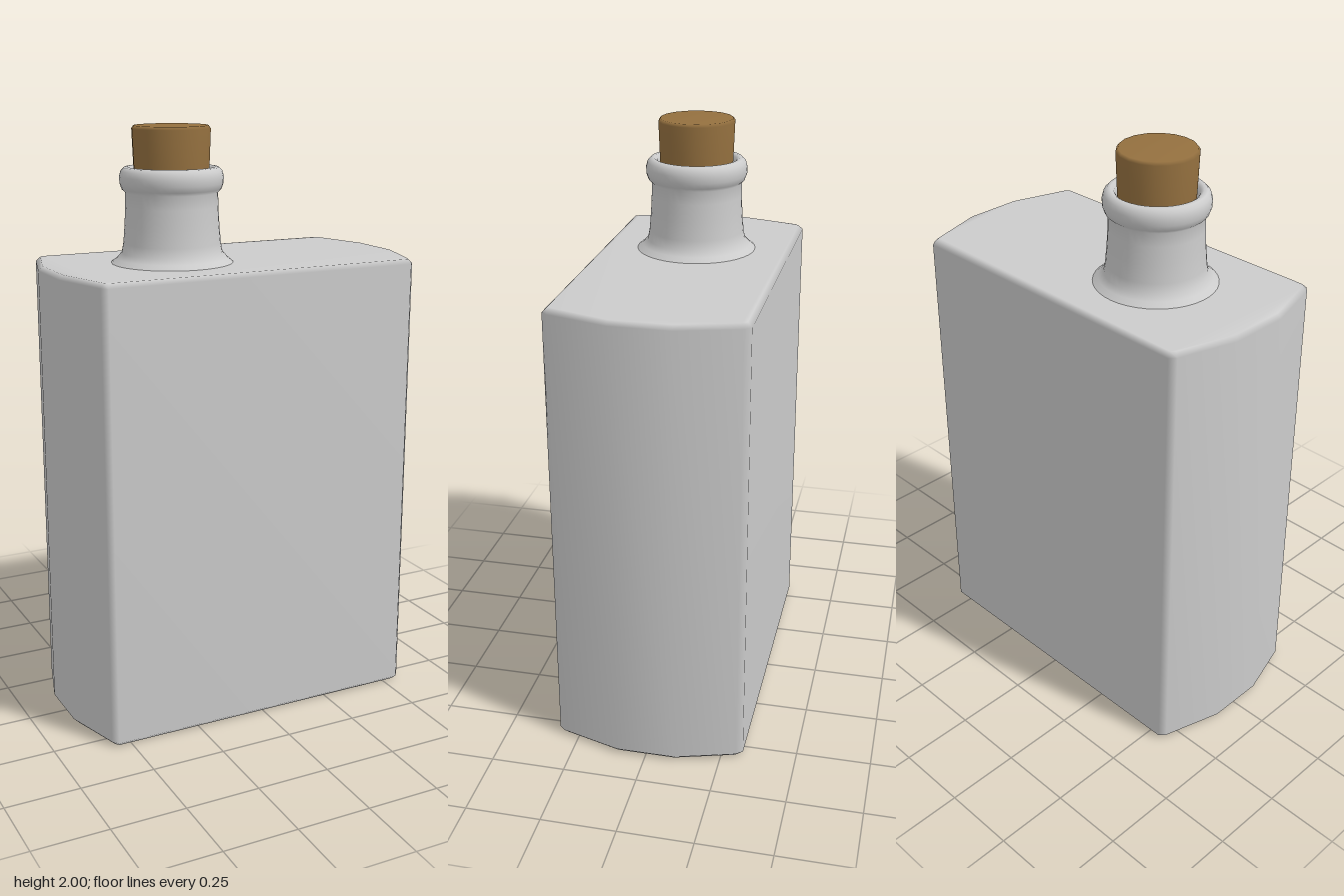
import * as THREE from 'three';
import { mergeVertices } from 'three/addons/utils/BufferGeometryUtils.js';

const HEIGHT = 1.555;
const NECK_X = -0.19;

function lathe(name, points, segments, material) {
  const profile = points.map(([r, y]) => new THREE.Vector2(r, y));
  const mesh = new THREE.Mesh(new THREE.LatheGeometry(profile, segments), material);
  mesh.name = name;
  mesh.position.x = NECK_X;
  return mesh;
}

// Flat-sided body with angled ends and narrow chamfers, softly shaded
function bodyGeometry() {
  const end = [[0.625, -0.1], [0.625, 0.1], [0.565, 0.302], [0.547, 0.323]];
  const right = [[0.547, -0.323], [0.565, -0.302], ...end];
  const left = right.map(([x, z]) => [-x, -z]);
  const shape = new THREE.Shape([...right, ...left].map(([x, z]) => new THREE.Vector2(x, z)));
  const bevel = 0.015;
  let geometry = new THREE.ExtrudeGeometry(shape, {
    depth: HEIGHT - 2 * bevel,
    bevelEnabled: true,
    bevelThickness: bevel,
    bevelSize: bevel,
    bevelOffset: -bevel,
    bevelSegments: 1,
  });
  geometry.translate(0, 0, bevel);
  geometry.rotateX(-Math.PI / 2);
  geometry.deleteAttribute('normal');
  geometry.deleteAttribute('uv');
  geometry = mergeVertices(geometry, 1e-4);
  geometry.computeVertexNormals();
  return geometry;
}

export function createModel() {
  const glass = new THREE.MeshStandardMaterial({ color: 0xcccccc });
  const glassThin = new THREE.MeshStandardMaterial({ color: 0xcccccc, side: THREE.DoubleSide });
  const corkMaterial = new THREE.MeshStandardMaterial({ color: 0x94703f });
  const group = new THREE.Group();
  group.name = 'bottle';

  const body = new THREE.Mesh(bodyGeometry(), glass);
  body.name = 'body';
  group.add(body);

  // Neck flaring into the shoulder, with a rolled lip
  group.add(lathe('neck', [
    [0.207, HEIGHT - 0.003], [0.185, 1.57], [0.168, 1.588], [0.162, 1.62], [0.157, 1.68],
    [0.154, 1.74], [0.153, 1.785], [0.164, 1.796], [0.171, 1.815], [0.172, 1.837],
    [0.167, 1.855], [0.156, 1.866], [0.144, 1.868], [0.134, 1.861], [0.128, 1.845], [0.126, 1.78],
  ], 40, glassThin));

  // Tapered cork with a small chamfer on top
  group.add(lathe('cork', [
    [0, 1.78], [0.122, 1.78], [0.125, 1.86], [0.13, 1.99], [0.123, 2], [0, 2],
  ], 18, corkMaterial));

  return group;
}
